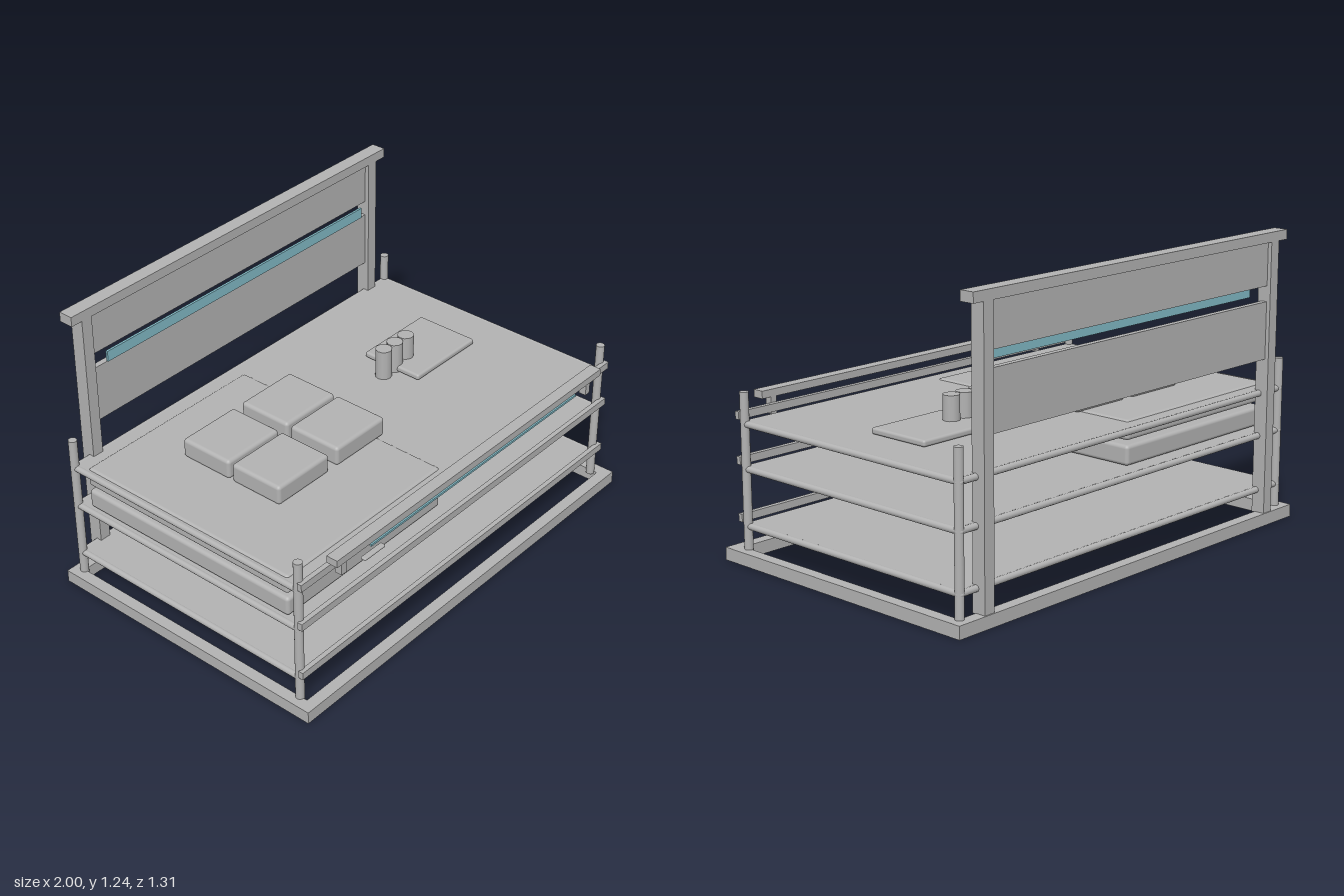
import * as THREE from 'three';
import { RoundedBoxGeometry } from 'three/addons/geometries/RoundedBoxGeometry.js';

export function createModel() {
  const model = new THREE.Group();
  model.name = 'workbench';
  const grey = new THREE.MeshStandardMaterial({ color: 0xb3b3b3 });
  grey.name = 'grey metal';
  const cyan = new THREE.MeshStandardMaterial({ color: 0x82bac6 });
  cyan.name = 'cyan light';

  const add = (name, geo, x, y, z, mat = grey) => {
    const mesh = new THREE.Mesh(geo, mat);
    mesh.name = name;
    mesh.position.set(x, y, z);
    model.add(mesh);
    return mesh;
  };
  // Box given by its extents on each axis
  const box = (name, [x0, x1], [y0, y1], [z0, z1], mat = grey, radius = 0) => {
    const s = [x1 - x0, y1 - y0, z1 - z0];
    const geo = radius ? new RoundedBoxGeometry(...s, 3, radius) : new THREE.BoxGeometry(...s);
    return add(name, geo, (x0 + x1) / 2, (y0 + y1) / 2, (z0 + z1) / 2, mat);
  };

  // Base frame
  const back = -0.652, front = 0.648, bar = 0.05;
  box('baseFront', [-1, 1], [0, 0.053], [front - bar, front]);
  box('baseBack', [-1, 1], [0, 0.053], [back, back + bar]);
  for (const s of [-1, 1]) {
    const xs = s < 0 ? [-1, -1 + bar] : [1 - bar, 1];
    box('baseSide', xs, [0, 0.053], [back + bar, front - bar]);
  }

  // Round corner posts
  const postX = 0.95, postZ = [0.564, -0.604];
  for (const x of [-postX, postX]) {
    for (const z of postZ) {
      add('cornerPost', new THREE.CylinderGeometry(0.018, 0.018, 0.653, 20), x, 0.367, z);
    }
  }

  // Shelves: panel, rounded edge rails and front lip
  const railR = 0.0135;
  for (const y of [0.148, 0.382, 0.564]) {
    box('shelfPanel', [-0.955, 0.955], [y - 0.009, y + 0.012], [-0.604, 0.564]);
    for (const z of postZ) {
      const rail = add('longRail', new THREE.CapsuleGeometry(railR, 1.91, 4, 14), 0, y, z);
      rail.rotation.z = Math.PI / 2;
    }
    for (const x of [-postX, postX]) {
      const rail = add('sideRail', new THREE.CapsuleGeometry(railR, 1.18, 4, 14), x, y, -0.02);
      rail.rotation.x = Math.PI / 2;
    }
    box('shelfLip', [-0.97, 0.97], [y + 0.017, y + 0.049], [0.576, 0.597]);
  }

  // Drawers and their pulls
  for (const y of [0.5, 0.397]) {
    box('drawer', [-0.94, -0.045], [y, y + 0.083], [-0.543, 0.503], grey, 0.015);
    box('drawerPull', [-0.55, -0.43], [y + 0.044, y + 0.056], [0.52, 0.545], grey, 0.005);
  }

  // Rear gantry with split back panel
  for (const [x0, x1] of [[-0.865, -0.815], [0.815, 0.865]]) {
    box('gantryPost', [x0, x1], [0.05, 1.2], [-0.647, -0.586]);
  }
  box('gantryBeam', [-0.917, 0.917], [1.2, 1.241], [-0.648, -0.585]);
  box('upperBackPanel', [-0.815, 0.815], [1.018, 1.2], [-0.63, -0.605]);
  box('lowerBackPanel', [-0.815, 0.815], [0.712, 0.953], [-0.63, -0.605]);
  box('backLightStrip', [-0.758, 0.758], [0.972, 1.018], [-0.587, -0.577], cyan);

  // Front hand rail on two brackets
  box('handRail', [-0.832, 0.832], [0.636, 0.667], [0.597, 0.648]);
  for (const x of [-0.773, 0.773]) {
    box('railBracket', [x - 0.014, x + 0.014], [0.566, 0.636], [0.598, 0.63]);
  }
  box('railLightStrip', [-0.648, 0.648], [0.628, 0.637], [0.645, 0.655], cyan);

  // Four padded blocks on the top
  for (const x of [-0.492, -0.155]) {
    for (const z of [0.068, -0.193]) {
      box('block', [x - 0.145, x + 0.145], [0.579, 0.664], [z - 0.123, z + 0.123], grey, 0.015);
    }
  }

  // Tray and three canisters
  box('tray', [0.38, 0.76], [0.579, 0.606], [-0.238, 0.05], grey, 0.01);
  for (const x of [0.326, 0.398, 0.47]) {
    add('canister', new THREE.CylinderGeometry(0.035, 0.035, 0.132, 12), x, 0.642, -0.092);
  }
  return model;
}
